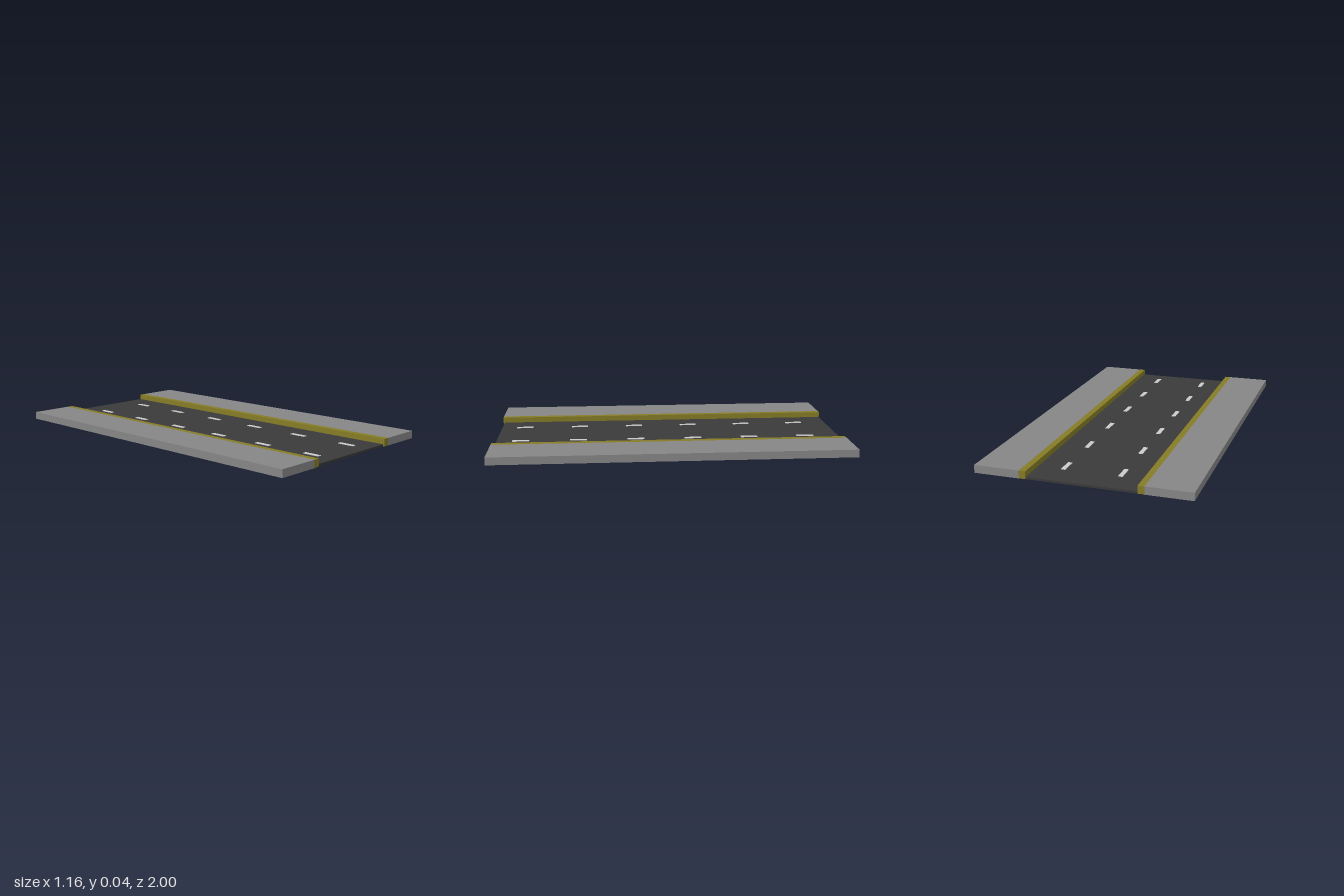
import * as THREE from 'three';

export function createModel() {
  const group = new THREE.Group();
  const paint = (color) => new THREE.MeshStandardMaterial({ color });
  const asphalt = paint(0x3a3a3a);
  const concrete = paint(0x868686);
  const yellow = paint(0x857c26);
  const white = paint(0xcccccc);

  // Box given by its x, y and z ranges
  function slab(name, material, [x0, x1], [y0, y1], [z0, z1]) {
    const mesh = new THREE.Mesh(new THREE.BoxGeometry(x1 - x0, y1 - y0, z1 - z0), material);
    mesh.position.set((x0 + x1) / 2, (y0 + y1) / 2, (z0 + z1) / 2);
    mesh.name = name;
    group.add(mesh);
  }

  // Roadway
  slab('road', asphalt, [-0.313, 0.313], [0, 0.012], [-0.998, 0.992]);

  // Raised pavements with painted kerbs; the kerbs sit just above the road's underside
  const height = 0.043;
  slab('leftSidewalk', concrete, [0.33, 0.579], [0, height], [-1, 1]);
  slab('rightSidewalk', concrete, [-0.579, -0.33], [0, height], [-1, 1]);
  slab('leftKerb', yellow, [0.294, 0.33], [0.001, height], [-1, 1]);
  slab('rightKerb', yellow, [-0.33, -0.296], [0.001, height], [-1, 1]);

  // Two rows of lane dashes
  for (const [side, x] of [['left', 0.152], ['right', -0.158]]) {
    for (let i = 0; i < 6; i++) {
      const z = -0.802 + i * 0.331;
      slab(`${side}LaneDash${i + 1}`, white, [x - 0.012, x + 0.012], [0.008, 0.015], [z - 0.049, z + 0.049]);
    }
  }
  return group;
}
